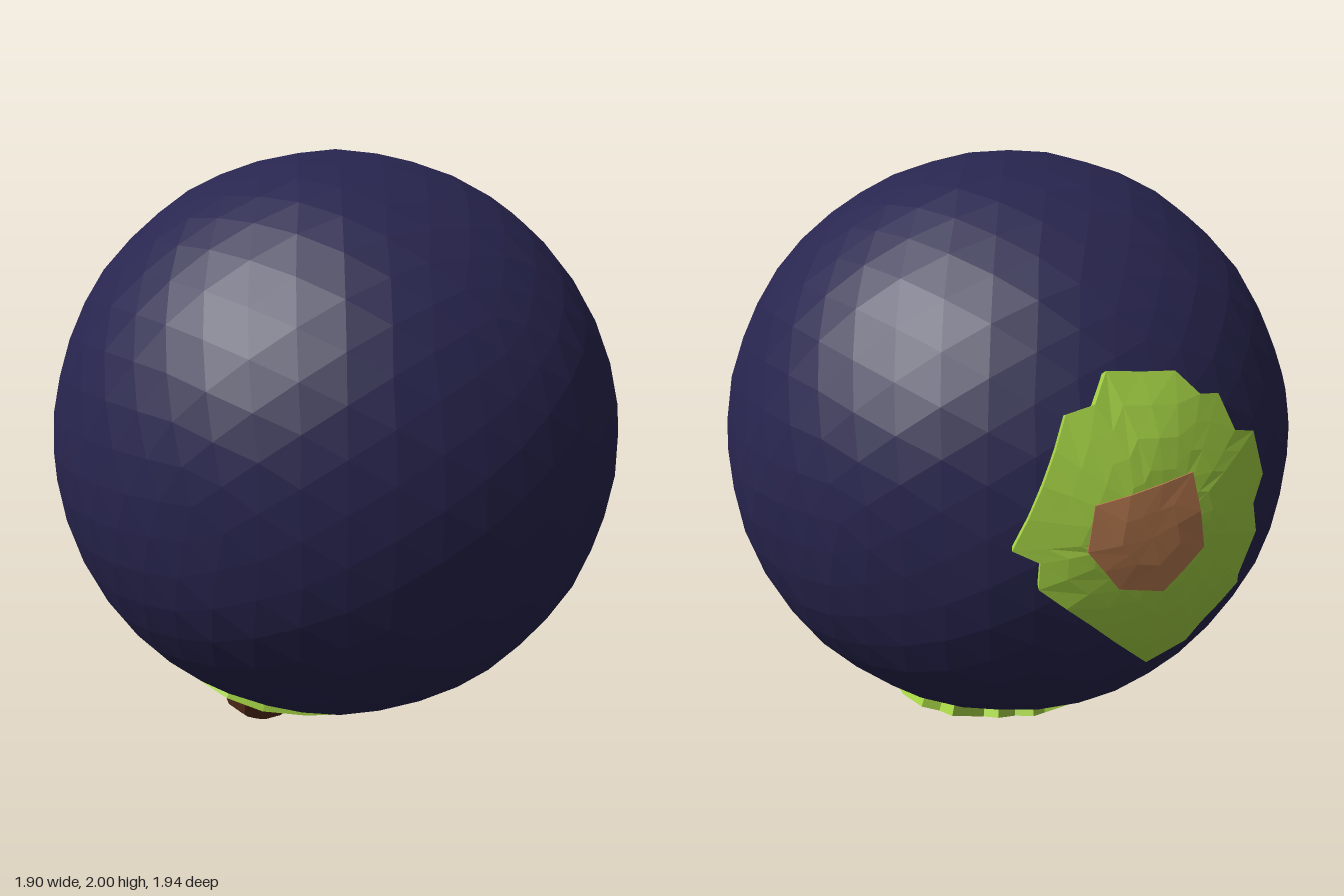
import * as THREE from 'three';

const CENTRE = new THREE.Vector3(0, 1.05, 0.02);
const OCEAN_R = 0.952, LAND_R = 0.982;

const flat = (color) => new THREE.MeshStandardMaterial({ color, flatShading: true });
const mats = {
  ocean: flat(0x28254f), grass: flat(0xa6d545), soil: flat(0xb97b50),
  rock: flat(0x444444), mountain: flat(0x5c301c),
};

// Ways to lay a flat outline (a, b) on the back or the underside of the globe
const toBack = (a, b) => new THREE.Vector3(a, b, -Math.sqrt(0.94 - a * a - b * b));
const toBottom = (a, b) => new THREE.Vector3(a, -Math.sqrt(0.94 - a * a - b * b), b);

// Gentle unevenness shared by everything that lies on the land
const relief = (p) => 0.004 * Math.sin(p.x * 17 + 1) * Math.sin(p.y * 13 + p.z * 15);

// Split long outline edges so that they follow the curve of the globe
function densify(outline, step = 0.1) {
  const out = [];
  outline.forEach(([x, y], i) => {
    const [nx, ny] = outline[(i + 1) % outline.length];
    const n = Math.max(1, Math.round(Math.hypot(nx - x, ny - y) / step));
    for (let k = 0; k < n; k++) out.push([x + (nx - x) * k / n, y + (ny - y) * k / n]);
  });
  return out;
}

// A raised plate: a wall from the base radius, then rings shrinking to the middle
function plate(name, outline, project, baseR, topR, rings, material) {
  const pts = densify(outline), n = pts.length;
  const cx = pts.reduce((s, p) => s + p[0], 0) / n;
  const cy = pts.reduce((s, p) => s + p[1], 0) / n;
  const ring = (t, r, bumpy) => pts.map(([x, y]) => {
    const p = project(cx + (x - cx) * t, cy + (y - cy) * t).normalize();
    return p.multiplyScalar(r + (bumpy ? relief(p) : 0));
  });
  const loops = [ring(1, baseR, false)];
  for (let k = 0; k <= rings; k++) loops.push(ring(1 - k / rings, topR, true));
  const pos = [];
  const tri = (...vs) => vs.forEach((v) => pos.push(v.x, v.y, v.z));
  for (let k = 0; k < loops.length - 1; k++) {
    const o = loops[k], q = loops[k + 1];
    for (let i = 0; i < n; i++) {
      const j = (i + 1) % n;
      tri(o[j], o[i], q[i]);
      if (k < loops.length - 2) tri(o[j], q[i], q[j]);
    }
  }
  const geo = new THREE.BufferGeometry();
  geo.setAttribute('position', new THREE.Float32BufferAttribute(pos, 3));
  geo.computeVertexNormals();
  const mesh = new THREE.Mesh(geo, material);
  mesh.name = name;
  return mesh;
}

// Outlines run clockwise as seen from outside the globe
const backLand = [
  [0.16, 0.44], [-0.05, 0.42], [-0.12, 0.35], [-0.19, 0.34], [-0.24, 0.23], [-0.32, 0.21],
  [-0.37, 0.07], [-0.33, -0.01], [-0.36, -0.11], [-0.30, -0.24], [-0.31, -0.27],
  [-0.19, -0.38], [-0.15, -0.44], [-0.02, -0.49], [0.38, -0.14], [0.38, -0.06],
  [0.45, -0.02], [0.29, 0.34], [0.21, 0.36],
];
const backSoil = [
  [0.24, 0.1], [-0.06, 0.15], [-0.11, -0.08], [0.02, -0.19], [0.16, -0.16], [0.26, -0.03],
];
const bottomLand = [
  [0.42, 0.13], [0.46, -0.1], [0.46, -0.25], [0.40, -0.26], [0.39, -0.34], [0.26, -0.31],
  [0.23, -0.36], [0.15, -0.33], [0.1, -0.37], [0.04, -0.34], [-0.2, -0.37], [-0.33, -0.32],
  [-0.45, -0.25], [-0.49, -0.1], [-0.46, 0.03], [-0.36, 0.1], [-0.22, 0.15], [-0.05, 0.2],
  [0.1, 0.21], [0.25, 0.18],
];
const bottomSoil = [
  [0.41, -0.08], [0.38, -0.19], [0.28, -0.21], [0.14, -0.1], [0.2, 0.04], [0.32, 0.08],
];
const bottomRock = [
  [-0.08, -0.05], [-0.05, -0.2], [-0.14, -0.26], [-0.3, -0.31], [-0.4, -0.25],
  [-0.44, -0.1], [-0.36, 0.03], [-0.2, 0.03],
];

export function createModel() {
  const globe = new THREE.Group();
  globe.name = 'globe';
  globe.position.copy(CENTRE);

  // Ocean: faceted ball with a faint unevenness
  const ball = new THREE.IcosahedronGeometry(OCEAN_R, 7);
  const pos = ball.attributes.position, v = new THREE.Vector3();
  for (let i = 0; i < pos.count; i++) {
    v.fromBufferAttribute(pos, i);
    v.multiplyScalar(1 + 0.004 * Math.sin(v.x * 9 + 2) * Math.sin(v.y * 8 + v.z * 10));
    pos.setXYZ(i, v.x, v.y, v.z);
  }
  ball.computeVertexNormals();
  const ocean = new THREE.Mesh(ball, mats.ocean);
  ocean.name = 'ocean';
  globe.add(ocean);

  // Two land masses with their bare patches
  const patchR = LAND_R + 0.006;
  globe.add(
    plate('backLand', backLand, toBack, 0.93, LAND_R, 5, mats.grass),
    plate('backSoil', backSoil, toBack, LAND_R - 0.01, patchR, 2, mats.soil),
    plate('bottomLand', bottomLand, toBottom, 0.93, LAND_R, 5, mats.grass),
    plate('bottomSoil', bottomSoil, toBottom, LAND_R - 0.01, patchR, 2, mats.soil),
    plate('bottomRock', bottomRock, toBottom, LAND_R - 0.01, patchR, 2, mats.rock),
  );

  // Mountain: blunt peak pointing away from the globe
  const profile = [[0.14, -0.03], [0.135, 0.02], [0.105, 0.065], [0.05, 0.095], [0, 0.1]]
    .map(([x, y]) => new THREE.Vector2(x, y));
  const mountain = new THREE.Mesh(new THREE.LatheGeometry(profile, 8), mats.mountain);
  mountain.name = 'mountain';
  const out = new THREE.Vector3(-0.28, -1.04, -0.13).normalize();
  mountain.position.copy(out).multiplyScalar(LAND_R);
  mountain.quaternion.setFromUnitVectors(new THREE.Vector3(0, 1, 0), out);
  globe.add(mountain);

  const model = new THREE.Group();
  model.name = 'planet';
  model.add(globe);
  return model;
}
